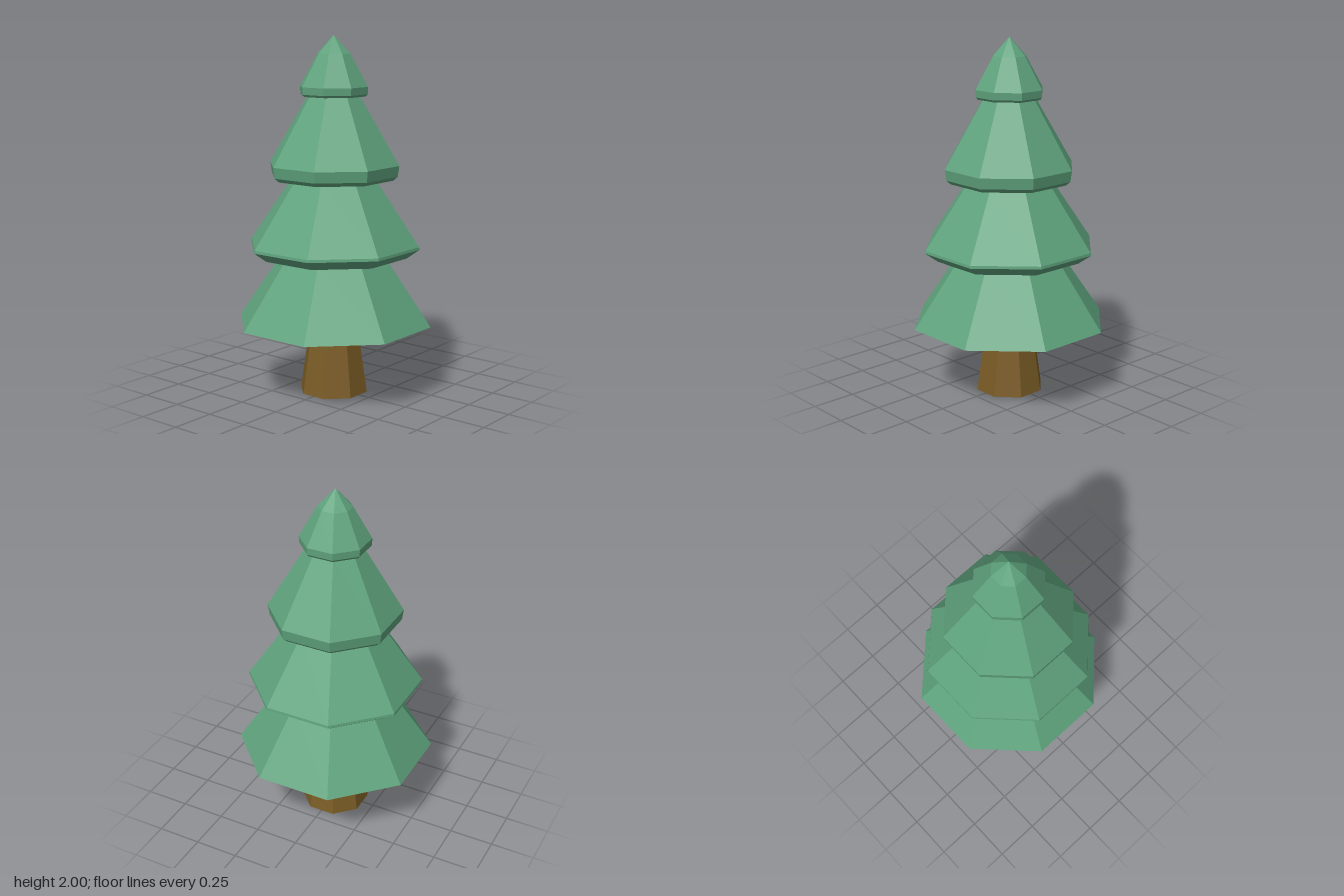
import * as THREE from 'three';

const SIDES = 8;
const TURN = Math.PI / SIDES;            // turns a flat side to the front
const toCorner = 1 / Math.cos(TURN);     // flat-side distance to corner radius

export function createModel() {
  const tree = new THREE.Group();
  tree.name = 'pineTree';

  const bark = new THREE.MeshStandardMaterial({ color: 0x7a5c25, flatShading: true });
  const needles = new THREE.MeshStandardMaterial({
    color: 0x5fa37d, flatShading: true, side: THREE.DoubleSide,
  });

  // Tapered trunk, its top hidden in the foliage
  const trunkHeight = 0.9;
  const trunkGeometry = new THREE.CylinderGeometry(0.058 * toCorner, 0.18 * toCorner, trunkHeight, SIDES);
  trunkGeometry.rotateY(TURN).translate(0, trunkHeight / 2, 0);
  const trunk = new THREE.Mesh(trunkGeometry, bark);
  trunk.name = 'trunk';
  tree.add(trunk);

  // Open, hollow skirts: [flat-side distance, height] from hem to tip
  const tiers = {
    bottomBranches: [[0.515, 0.405], [0.275, 0.785], [0, 1.2]],
    lowerBranches: [[0.385, 0.785], [0.452, 0.838], [0.45, 0.853], [0.222, 1.215], [0, 1.57]],
    upperBranches: [[0.312, 1.215], [0.335, 1.237], [0.343, 1.297], [0.138, 1.67], [0, 1.88]],
    topBranches: [[0.168, 1.67], [0.177, 1.682], [0.179, 1.722], [0.086, 1.9], [0, 2]],
  };
  for (const [name, profile] of Object.entries(tiers)) {
    const points = profile.map(([r, y]) => new THREE.Vector2(r * toCorner, y));
    const tier = new THREE.Mesh(new THREE.LatheGeometry(points, SIDES, TURN), needles);
    tier.name = name;
    tree.add(tier);
  }

  return tree;
}
